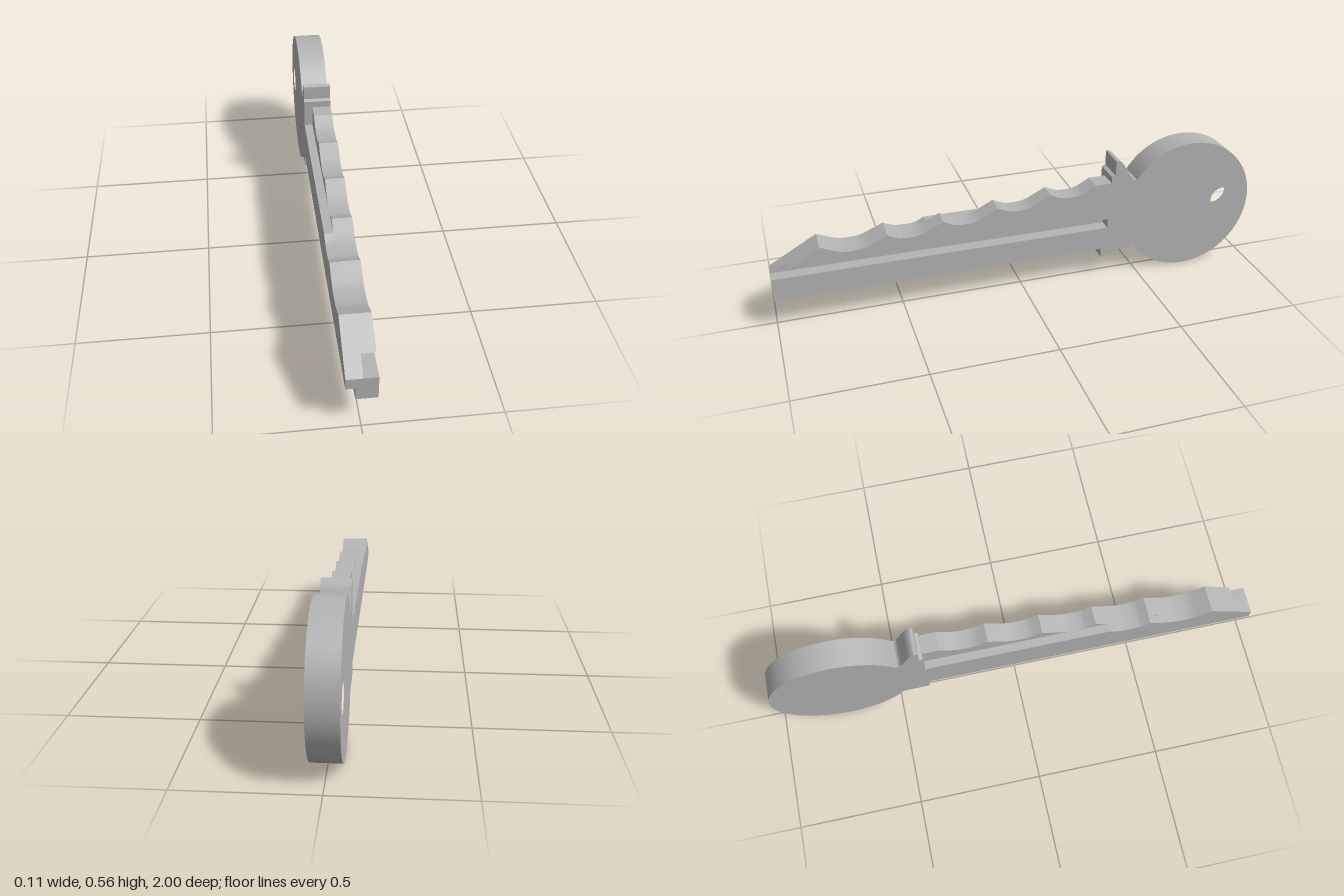
import * as THREE from 'three';
import { toCreasedNormals } from 'three/addons/utils/BufferGeometryUtils.js';

const BOTTOM = 0.133, LEDGE = 0.345, HEAD_Y = 0.2815, HEAD_Z = -0.7185, HEAD_R = 0.2815;

// Shapes are drawn with local x = -z, so the tip lies at local x = -1.
const line = (s, z, y) => s.lineTo(-z, y);

// Rounded-bottom cut between two teeth, ending on the next peak.
function valley(s, zA, zB, y, peakZ, peakY) {
  const p = s.currentPoint.clone();
  const mix = (a, b, t) => a + (b - a) * t;
  line(s, mix(zA, -p.x, 0.35), mix(y, p.y, 0.35));
  s.quadraticCurveTo(-zA, y, -mix(zA, zB, 0.4), y);
  line(s, mix(zA, zB, 0.6), y);
  s.quadraticCurveTo(-zB, y, -mix(zB, peakZ, 0.35), mix(y, peakY, 0.35));
  line(s, peakZ, peakY);
}

// Blade stop, curved hook, round head and its bottom neck point.
function hookAndHead(s) {
  line(s, -0.37, 0.432);
  line(s, -0.37, 0.459);
  line(s, -0.385, 0.465);
  line(s, -0.385, 0.52);
  s.quadraticCurveTo(0.386, 0.53, 0.398, 0.527);
  s.bezierCurveTo(0.425, 0.515, 0.43, 0.48, 0.463, 0.436);
  s.quadraticCurveTo(0.47, 0.43, 0.48, 0.432);
  s.absarc(-HEAD_Z, HEAD_Y, HEAD_R, Math.PI - 0.565, -Math.PI + 0.565, true);
  const hole = new THREE.Path();
  hole.absarc(0.88, 0.285, 0.053, 0, Math.PI * 2, true);
  s.holes.push(hole);
}

// Full toothed outline, with an optional long groove open at the tip.
function fullProfile(groove) {
  const s = new THREE.Shape();
  s.moveTo(-1, BOTTOM);
  line(s, 1, 0.229);
  if (groove) {
    line(s, -0.36, 0.229);
    line(s, -0.36, 0.27);
    line(s, 0.928, 0.27);
  }
  line(s, 0.81, 0.338);
  valley(s, 0.73, 0.645, 0.303, 0.55, 0.347);
  valley(s, 0.505, 0.425, 0.324, 0.33, 0.37);
  valley(s, 0.28, 0.205, 0.345, 0.11, 0.394);
  valley(s, 0.06, -0.015, 0.37, -0.11, 0.418);
  valley(s, -0.16, -0.235, 0.395, -0.30, 0.432);
  hookAndHead(s);
  line(s, -0.335, 0.094);
  line(s, -0.335, BOTTOM);
  return s;
}

// Outline of the side that is milled away above the ledge and along the bottom.
function milledProfile() {
  const s = new THREE.Shape();
  s.moveTo(-1, 0.185);
  line(s, 1, 0.229);
  line(s, 0.81, 0.338);
  valley(s, 0.73, 0.645, 0.303, 0.55, LEDGE);
  valley(s, 0.505, 0.425, 0.324, 0.385, LEDGE);
  line(s, -0.37, LEDGE);
  hookAndHead(s);
  line(s, -0.37, BOTTOM);
  line(s, -0.37, 0.185);
  return s;
}

export function createModel() {
  const metal = new THREE.MeshStandardMaterial({ color: 0xb4b4b4 });
  metal.name = 'steel grey';
  const key = new THREE.Group();
  key.name = 'key';

  // Key built as three layers across its thickness
  const addLayer = (name, shape, x0, x1) => {
    let g = new THREE.ExtrudeGeometry(shape, { depth: x1 - x0, bevelEnabled: false, curveSegments: 48 });
    g.rotateY(Math.PI / 2);
    g.translate(x0, 0, 0);
    g = toCreasedNormals(g, 0.4);
    const mesh = new THREE.Mesh(g, metal);
    mesh.name = name;
    key.add(mesh);
  };
  addLayer('milledSide', milledProfile(), -0.056, -0.022);
  addLayer('core', fullProfile(false), -0.022, 0.004);
  addLayer('groovedSide', fullProfile(true), 0.004, 0.056);
  return key;
}
